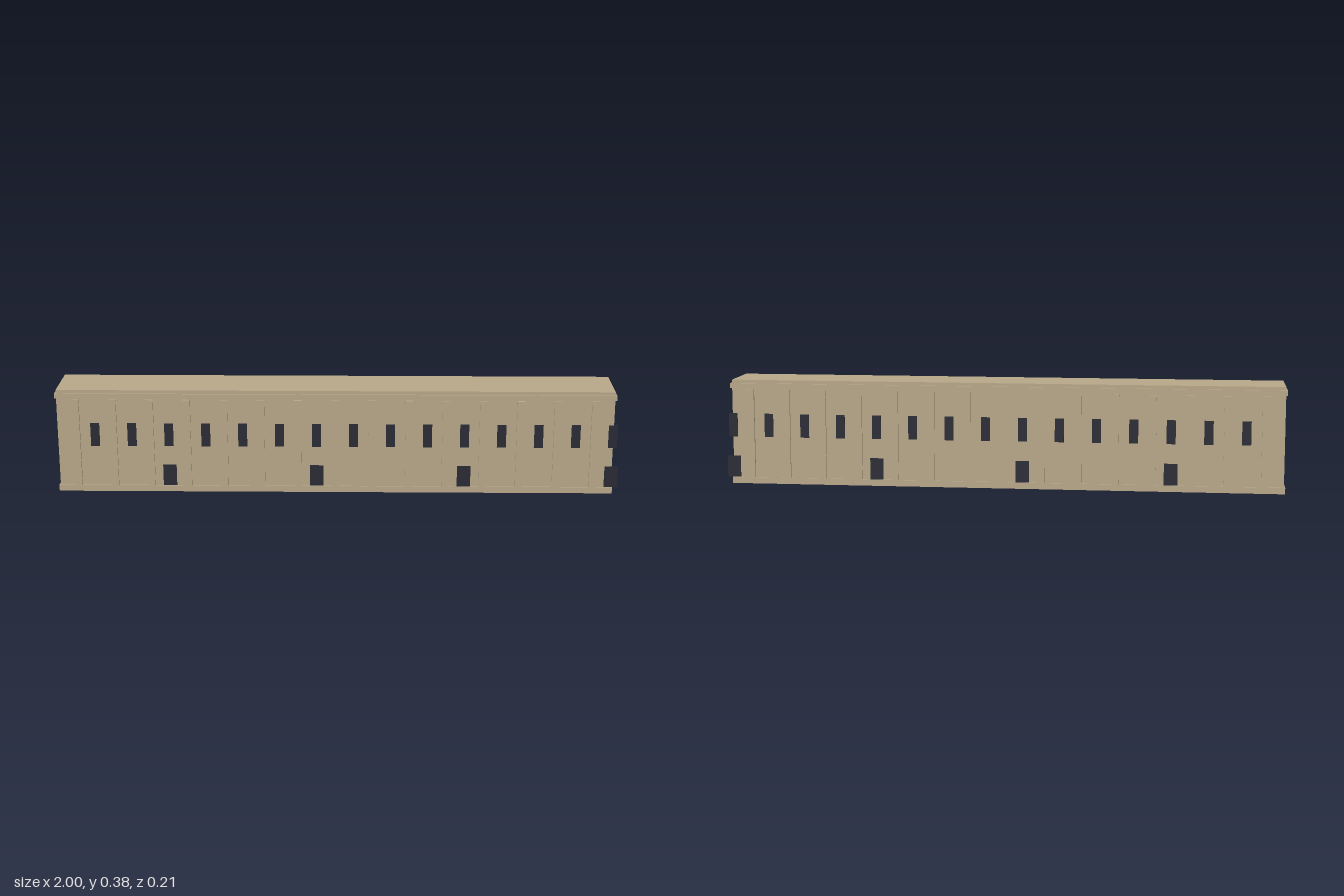
import * as THREE from 'three';

const CENTER_X = -0.009;
const PITCH = 0.1312;
const BODY_HALF_Z = 0.0953;

export function createModel() {
  const model = new THREE.Group();
  const stone = new THREE.MeshStandardMaterial({ color: 0xb8a88a });
  stone.name = 'tan stone';
  const glass = new THREE.MeshStandardMaterial({ color: 0x2a2a35 });
  glass.name = 'dark glass';

  // Box given by its centre in x and z and its bottom and top heights
  function box(name, material, x, z, bottom, top, width, depth, parent = model) {
    const mesh = new THREE.Mesh(new THREE.BoxGeometry(width, top - bottom, depth), material);
    mesh.position.set(x, (bottom + top) / 2, z);
    mesh.name = name;
    parent.add(mesh);
  }

  // Main block, with the cornice band just below its roof
  box('body', stone, CENTER_X, 0, 0.022, 0.377, 1.971, BODY_HALF_Z * 2);
  box('cornice', stone, CENTER_X, 0, 0.347, 0.365, 1.982, 0.202);

  // Base ring, open underneath
  const rectangle = (target, halfX, halfZ) => {
    target.moveTo(-halfX, -halfZ);
    target.lineTo(halfX, -halfZ);
    target.lineTo(halfX, halfZ);
    target.lineTo(-halfX, halfZ);
    target.closePath();
    return target;
  };
  const ring = rectangle(new THREE.Shape(), 0.99, 0.1);
  ring.holes.push(rectangle(new THREE.Path(), 0.9855, BODY_HALF_Z));
  const ringGeometry = new THREE.ExtrudeGeometry(ring, { depth: 0.0225, bevelEnabled: false });
  ringGeometry.rotateX(-Math.PI / 2);
  const base = new THREE.Mesh(ringGeometry, stone);
  base.name = 'base';
  base.position.x = CENTER_X;
  model.add(base);

  // Both long facades: pilasters, upper windows and doors
  for (const side of [1, -1]) {
    const facade = new THREE.Group();
    facade.name = side > 0 ? 'frontFacade' : 'backFacade';
    model.add(facade);
    for (let i = 0; i < 15; i++) {
      const pilasterX = -0.928 + i * PITCH;
      const windowX = -0.862 + i * PITCH;
      box('pilaster', stone, pilasterX, side * 0.0985, 0.023, 0.343, 0.026, 0.009, facade);
      box('window', glass, windowX, side * 0.0955, 0.17, 0.255, 0.032, 0.003, facade);
      // A door in every fourth bay
      if (i % 4 === 2) {
        box('door', glass, windowX, side * 0.0955, 0.023, 0.1, 0.048, 0.003, facade);
      }
    }
  }
  return model;
}
